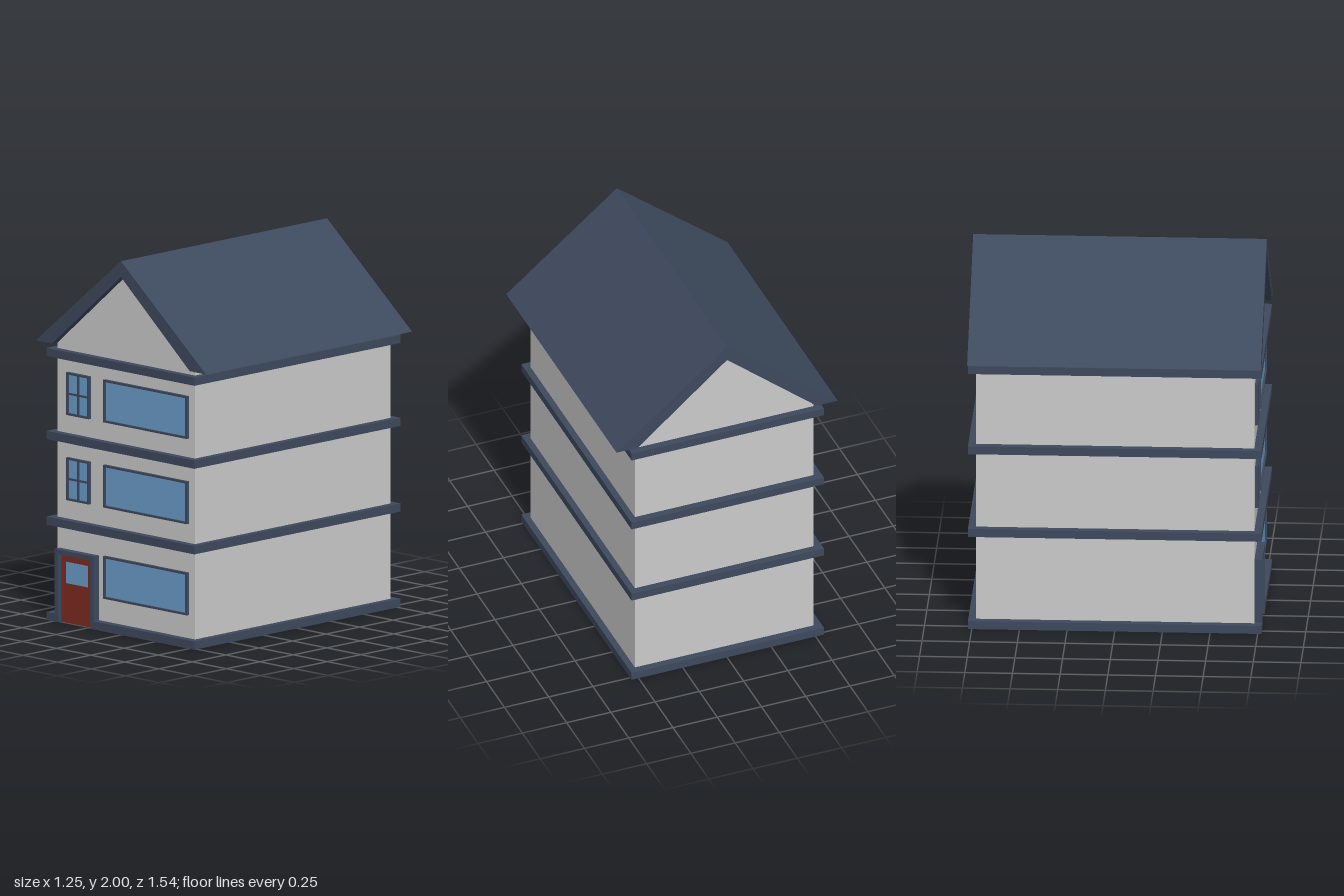
import * as THREE from 'three';

const mat = (name, color) => {
  const m = new THREE.MeshStandardMaterial({ color });
  m.name = name;
  return m;
};

export function createModel() {
  const wall = mat('pale grey wall', 0xcacaca);
  const trim = mat('slate blue trim', 0x3d495d);
  const glass = mat('blue glass', 0x6b9cca);
  const red = mat('dark red door', 0x7c2b21);
  const house = new THREE.Group();
  house.name = 'house';

  const add = (parent, name, geometry, material) => {
    const mesh = new THREE.Mesh(geometry, material);
    mesh.name = name;
    parent.add(mesh);
    return mesh;
  };
  // Box given by its minimum and maximum on each axis
  const box = (parent, name, material, x0, x1, y0, y1, z0, z1) =>
    add(parent, name, new THREE.BoxGeometry(x1 - x0, y1 - y0, z1 - z0), material)
      .position.set((x0 + x1) / 2, (y0 + y1) / 2, (z0 + z1) / 2);
  const outline = (points) => new THREE.Shape(points.map(([x, y]) => new THREE.Vector2(x, y)));
  const rect = (x0, x1, y0, y1) => outline([[x0, y0], [x1, y0], [x1, y1], [x0, y1]]);
  // Outline in x and y, extruded from z0 to z1
  const slab = (parent, name, material, shape, z0, z1) => {
    const g = new THREE.ExtrudeGeometry(shape, { depth: z1 - z0, bevelEnabled: false });
    return add(parent, name, g.translate(0, 0, z0), material);
  };

  // Walls with both gables
  slab(house, 'walls', wall, outline([
    [-0.505, 0.02], [0.505, 0.02], [0.505, 1.488], [0, 1.918], [-0.505, 1.488],
  ]), -0.73, 0.73);

  // Pitched roof with level eaves
  slab(house, 'roof', trim, outline([
    [-0.625, 1.485], [-0.505, 1.485], [0, 1.915], [0.505, 1.485], [0.625, 1.485], [0, 2],
  ]), -0.77, 0.77);

  // Ledges between the storeys
  [0.51, 0.968, 1.412].forEach((y) =>
    box(house, 'ledge', trim, -0.547, 0.54, y, y + 0.044, -0.77, 0.77));

  // Base slab, notched in front of the door
  const base = outline([
    [-0.547, -0.77], [0.54, -0.77], [0.54, 0.77], [-0.225, 0.77],
    [-0.225, 0.735], [-0.46, 0.735], [-0.46, 0.77], [-0.547, 0.77],
  ]);
  slab(house, 'base', trim, base, -0.044, 0).rotation.x = Math.PI / 2;

  // Framed window, optionally with a cross of glazing bars
  const addWindow = (name, x0, x1, y0, y1, bars) => {
    const group = new THREE.Group();
    group.name = name;
    const t = 0.011;
    const frame = rect(x0, x1, y0, y1);
    frame.holes.push(rect(x0 + t, x1 - t, y0 + t, y1 - t));
    slab(group, 'windowFrame', trim, frame, 0.728, 0.747);
    box(group, 'windowPane', glass, x0 + t, x1 - t, y0 + t, y1 - t, 0.729, 0.737);
    if (bars) {
      const cx = (x0 + x1) / 2;
      const cy = (y0 + y1) / 2;
      box(group, 'verticalBar', trim, cx - 0.005, cx + 0.005, y0 + t, y1 - t, 0.73, 0.745);
      box(group, 'horizontalBar', trim, x0 + t, x1 - t, cy - 0.005, cy + 0.005, 0.73, 0.744);
    }
    house.add(group);
  };
  [0.168, 0.656, 1.112].forEach((y, floor) => {
    addWindow('wideWindow', -0.155, 0.46, y, y + 0.228, false);
    if (floor > 0) addWindow('smallWindow', -0.426, -0.26, y, y + 0.228, true);
  });

  // Front door in a deep surround
  const door = new THREE.Group();
  door.name = 'frontDoor';
  slab(door, 'doorSurround', trim, outline([
    [-0.487, 0.03], [-0.46, 0.03], [-0.46, 0.364], [-0.225, 0.364],
    [-0.225, 0.03], [-0.202, 0.03], [-0.202, 0.39], [-0.487, 0.39],
  ]), 0.728, 0.771);
  box(door, 'doorPanel', red, -0.46, -0.225, 0.001, 0.364, 0.725, 0.745);
  box(door, 'doorPane', glass, -0.425, -0.265, 0.212, 0.326, 0.744, 0.748);
  house.add(door);

  return house;
}
